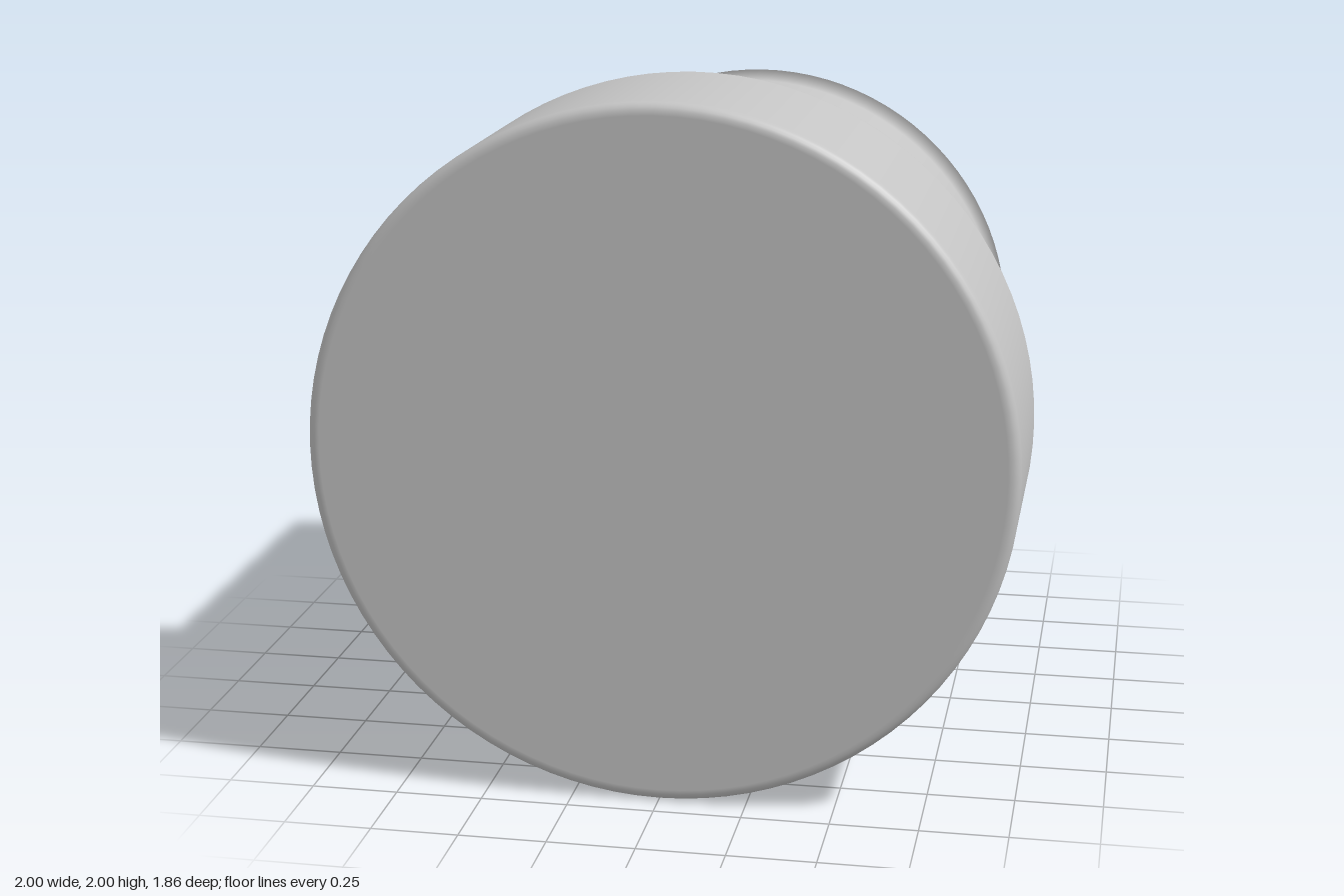
import * as THREE from 'three';

const SEGMENTS = 96;

// Revolve a [radius, z] profile around the front-to-back axis
function revolve(profile, material, name) {
  const points = profile.map(([r, z]) => new THREE.Vector2(r, z));
  const geometry = new THREE.LatheGeometry(points, SEGMENTS);
  geometry.rotateX(Math.PI / 2);
  const mesh = new THREE.Mesh(geometry, material);
  mesh.name = name;
  return mesh;
}

// Quarter-round edge between two angles
function roundedEdge(r, z, radius, startAngle, steps = 5) {
  return Array.from({ length: steps + 1 }, (_, i) => {
    const a = startAngle + (i / steps) * Math.PI / 2;
    return [r + radius * Math.cos(a), z + radius * Math.sin(a)];
  });
}

export function createModel() {
  const group = new THREE.Group();
  group.name = 'knob';
  const grey = new THREE.MeshStandardMaterial({ color: 0xc4c4c4 });
  grey.name = 'light grey';

  // Wide head with small rounded edges; extra rings keep the faces flat
  const R = 1, back = 0.31, front = 0.93, b = 0.03;
  const head = revolve([
    [0, back], [R - b - 0.005, back],
    ...roundedEdge(R - b, back + b, b, -Math.PI / 2),
    [R, back + b + 0.005], [R, front - b - 0.005],
    ...roundedEdge(R - b, front - b, b, 0),
    [R - b - 0.005, front], [0, front],
  ], grey, 'head');

  // Narrow shaft with square ends, shaded smoothly over the rims
  const r = 0.83;
  const shaft = revolve([
    [0, -0.93], [r, -0.93], [r, -0.69], [r, 0.07], [r, 0.315], [0, 0.315],
  ], grey, 'shaft');

  group.add(head, shaft);
  group.position.y = 1;
  const model = new THREE.Group();
  model.add(group);
  return model;
}
